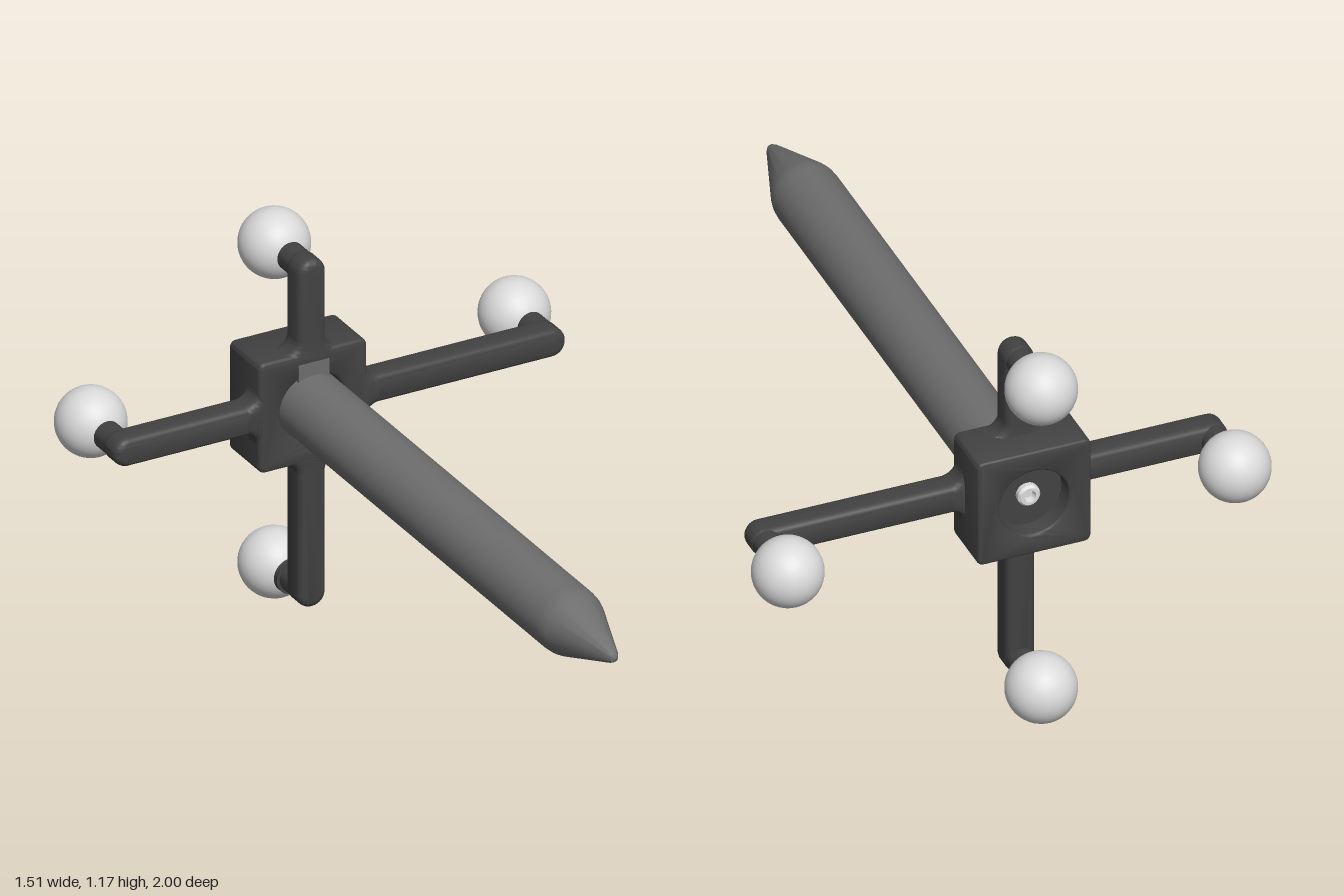
import * as THREE from 'three';
import { toCreasedNormals } from 'three/addons/utils/BufferGeometryUtils.js';

const CX = -0.0875, CY = 0.673; // axis of the rod
const FRONT = -0.68;            // front plane of hub and arms
const HUB = 0.167, HALF = 0.043;

const material = (name, color) => {
  const m = new THREE.MeshStandardMaterial({ color });
  m.name = name;
  return m;
};

// Bevelled plate whose front lies on z = 0 and which runs back by depth
function plate(shape, depth, bevel) {
  const g = new THREE.ExtrudeGeometry(shape, {
    depth: depth - 2 * bevel, bevelThickness: bevel, bevelSize: bevel,
    bevelOffset: -bevel, bevelSegments: 4, curveSegments: 24,
  });
  g.translate(0, 0, bevel - depth);
  return toCreasedNormals(g, 0.7);
}

// Lathe turned so its axis runs along z
function turned(points, segments = 48) {
  const g = new THREE.LatheGeometry(points.map(([r, z]) => new THREE.Vector2(r, z)), segments);
  g.rotateX(Math.PI / 2);
  return toCreasedNormals(g.toNonIndexed(), 0.5);
}

// Arm outline along +x: flared root, straight bar, round end
function armShape(reach) {
  const f = 0.04, s = new THREE.Shape();
  s.moveTo(0.13, -HALF - f);
  s.lineTo(HUB, -HALF - f);
  s.absarc(HUB + f, -HALF - f, f, Math.PI, Math.PI / 2, true);
  s.lineTo(reach, -HALF);
  s.absarc(reach, 0, HALF, -Math.PI / 2, Math.PI / 2, false);
  s.lineTo(HUB + f, HALF);
  s.absarc(HUB + f, HALF + f, f, -Math.PI / 2, -Math.PI, true);
  s.lineTo(0.13, HALF + f);
  s.closePath();
  return s;
}

export function createModel() {
  const model = new THREE.Group();
  model.name = 'trackedPointer';
  const dark = material('darkPlastic', 0x424242);
  const grey = material('greyRod', 0x6e6e6e);
  const light = material('lightMarker', 0xdadada);

  const add = (parent, name, geometry, mat, x = 0, y = 0, z = 0) => {
    const mesh = new THREE.Mesh(geometry, mat);
    mesh.name = name;
    mesh.position.set(x, y, z);
    parent.add(mesh);
    return mesh;
  };

  // Pointed rod
  add(model, 'rod', turned([
    [0, -0.79], [0.098, -0.79], [0.098, 0.735], [0.096, 0.76], [0.091, 0.78],
    [0.02, 0.98], [0.012, 0.995], [0, 1],
  ]), grey, CX, CY);

  // Hub with rounded corners and a bore
  const c = 0.02, h = HUB, hub = new THREE.Shape();
  hub.absarc(h - c, h - c, c, 0, Math.PI / 2);
  hub.absarc(-h + c, h - c, c, Math.PI / 2, Math.PI);
  hub.absarc(-h + c, -h + c, c, Math.PI, Math.PI * 1.5);
  hub.absarc(h - c, -h + c, c, Math.PI * 1.5, Math.PI * 2);
  hub.closePath();
  const bore = new THREE.Path();
  bore.absarc(0, 0, 0.101, 0, Math.PI * 2, true);
  hub.holes.push(bore);
  add(model, 'hub', plate(hub, 0.175, 0.012), dark, CX, CY, FRONT);

  // Floor of the rear recess, with a socket screw
  add(model, 'recessFloor', turned([[0, -0.8], [0.103, -0.8], [0.103, -0.76], [0, -0.76]]), dark, CX, CY);
  add(model, 'screw', turned([
    [0, -0.804], [0.014, -0.804], [0.018, -0.822], [0.027, -0.822],
    [0.033, -0.815], [0.033, -0.79],
  ], 24), light, CX, CY);

  // Key above the rod
  add(model, 'key', new THREE.BoxGeometry(0.095, 0.06, 0.03), grey, CX, CY + 0.107, FRONT - 0.012);

  // Four arms, each with a post and a marker ball
  const arms = [
    ['left', 0, 0.7425], ['top', Math.PI / 2, 0.402],
    ['right', Math.PI, 0.5675], ['bottom', -Math.PI / 2, 0.573],
  ];
  for (const [side, angle, reach] of arms) {
    const arm = new THREE.Group();
    arm.name = side + 'ArmAssembly';
    arm.position.set(CX, CY, 0);
    arm.rotation.z = angle;
    model.add(arm);
    add(arm, side + 'Arm', plate(armShape(reach), 0.085, 0.022), dark, 0, 0, FRONT);
    add(arm, side + 'Post', turned([[0, -0.85], [0.041, -0.85], [0.041, -0.72], [0, -0.72]], 32), dark, reach);
    add(arm, side + 'Ball', new THREE.SphereGeometry(0.1, 40, 28), light, reach, 0, -0.9);
    if (side === 'bottom') {
      add(arm, 'bottomCollar', turned([[0, -0.812], [0.05, -0.812], [0.05, -0.795], [0, -0.795]], 32), dark, reach);
    }
  }
  return model;
}
